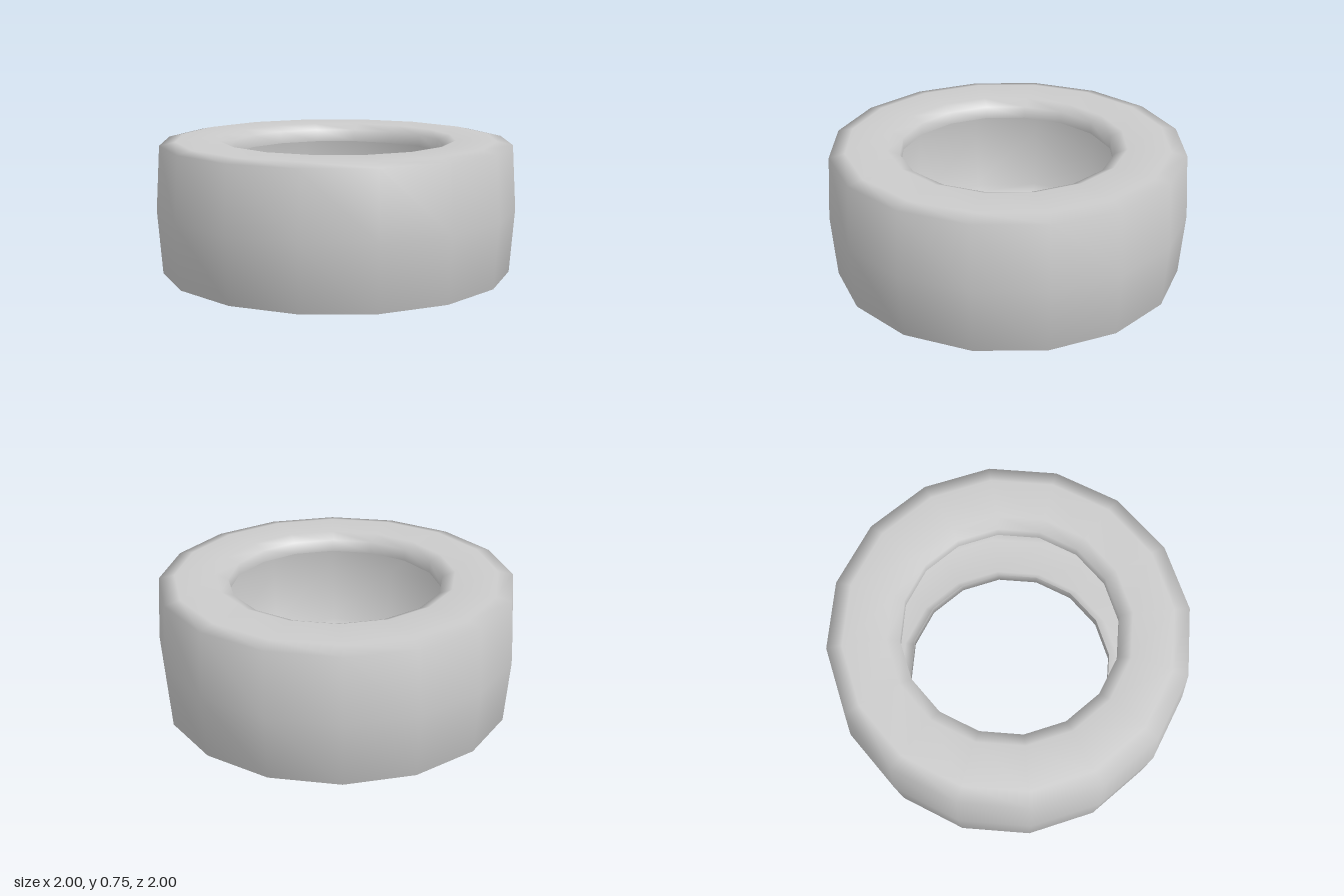
import * as THREE from 'three';

const SIDES = 16;
const HEIGHT = 0.745;

export function createModel() {
  const group = new THREE.Group();
  group.name = 'tyre';

  // Upper half of the hollow shell: tread centre, shoulder, sidewall, rim lip
  const upper = [
    [1.0, HEIGHT / 2],
    [0.976, 0.727],
    [0.89, HEIGHT],
    [0.66, HEIGHT],
    [0.592, 0.715],
    [0.592, 0.645],
  ];
  // Mirrored lower half, running from the bottom lip out to the tread
  const lower = upper.slice(1).reverse().map(([r, y]) => [r, HEIGHT - y]);
  const profile = [...lower, ...upper].map(([r, y]) => new THREE.Vector2(r, y));

  const geometry = new THREE.LatheGeometry(profile, SIDES);

  // The hole sits very slightly off centre
  const pos = geometry.attributes.position;
  for (let i = 0; i < pos.count; i++) {
    if (Math.hypot(pos.getX(i), pos.getZ(i)) < 0.7) pos.setX(i, pos.getX(i) + 0.008);
  }

  // Open, single-skin shell
  const material = new THREE.MeshStandardMaterial({ color: 0xcccccc, side: THREE.DoubleSide });
  const shell = new THREE.Mesh(geometry, material);
  shell.name = 'tyreShell';
  group.add(shell);
  return group;
}
